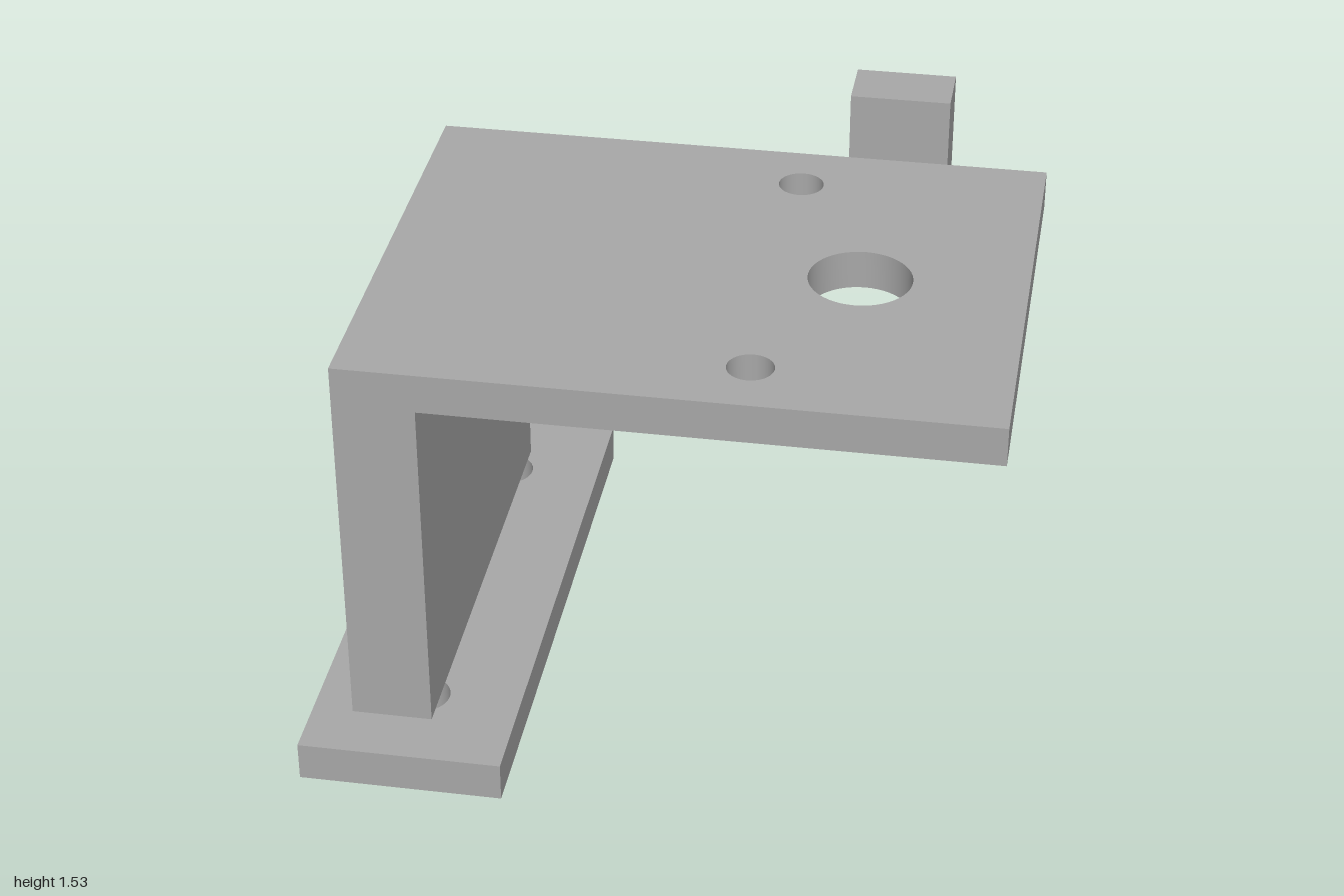
import * as THREE from 'three';
import { toCreasedNormals } from 'three/addons/utils/BufferGeometryUtils.js';

const grey = new THREE.MeshStandardMaterial({ color: 0xa8a8a8 });
grey.name = 'grey';

function addMesh(group, name, geometry) {
  const mesh = new THREE.Mesh(geometry, grey);
  mesh.name = name;
  group.add(mesh);
}

// Box given by its lower and upper corners
function block([x0, y0, z0], [x1, y1, z1]) {
  return new THREE.BoxGeometry(x1 - x0, y1 - y0, z1 - z0)
    .translate((x0 + x1) / 2, (y0 + y1) / 2, (z0 + z1) / 2);
}

// Horizontal plate with round through holes, each [x, z, radius]
function drilledPlate(x0, x1, halfDepth, y0, thickness, holes) {
  const shape = new THREE.Shape([
    new THREE.Vector2(x0, -halfDepth), new THREE.Vector2(x1, -halfDepth),
    new THREE.Vector2(x1, halfDepth), new THREE.Vector2(x0, halfDepth),
  ]);
  for (const [x, z, r] of holes) {
    shape.holes.push(new THREE.Path().absarc(x, -z, r, 0, Math.PI * 2, true));
  }
  const geometry = new THREE.ExtrudeGeometry(shape, {
    depth: thickness, bevelEnabled: false, curveSegments: 24,
  });
  geometry.rotateX(-Math.PI / 2).translate(0, y0, 0);
  return toCreasedNormals(geometry, 0.6);
}

export function createModel() {
  const group = new THREE.Group();
  group.name = 'mountingBracket';

  // Foot with two screw holes partly under the wall
  addMesh(group, 'basePlate', drilledPlate(-1, -0.395, 0.907, 0, 0.12,
    [[-0.695, 0.61, 0.084], [-0.695, -0.61, 0.084]]));

  // Upright wall
  addMesh(group, 'wall', block([-0.88, 0.12, -0.725], [-0.64, 1.2, 0.725]));

  // Top shelf with a large bore and two small holes
  addMesh(group, 'topPlate', drilledPlate(-0.88, 1, 0.725, 1.2, 0.12,
    [[0.513, 0, 0.153], [0.27, 0.53, 0.068], [0.27, -0.53, 0.068]]));

  // Stop block on the rear edge
  addMesh(group, 'rearTab', block([0.392, 1.2, -0.907], [0.696, 1.53, -0.725]));

  return group;
}
